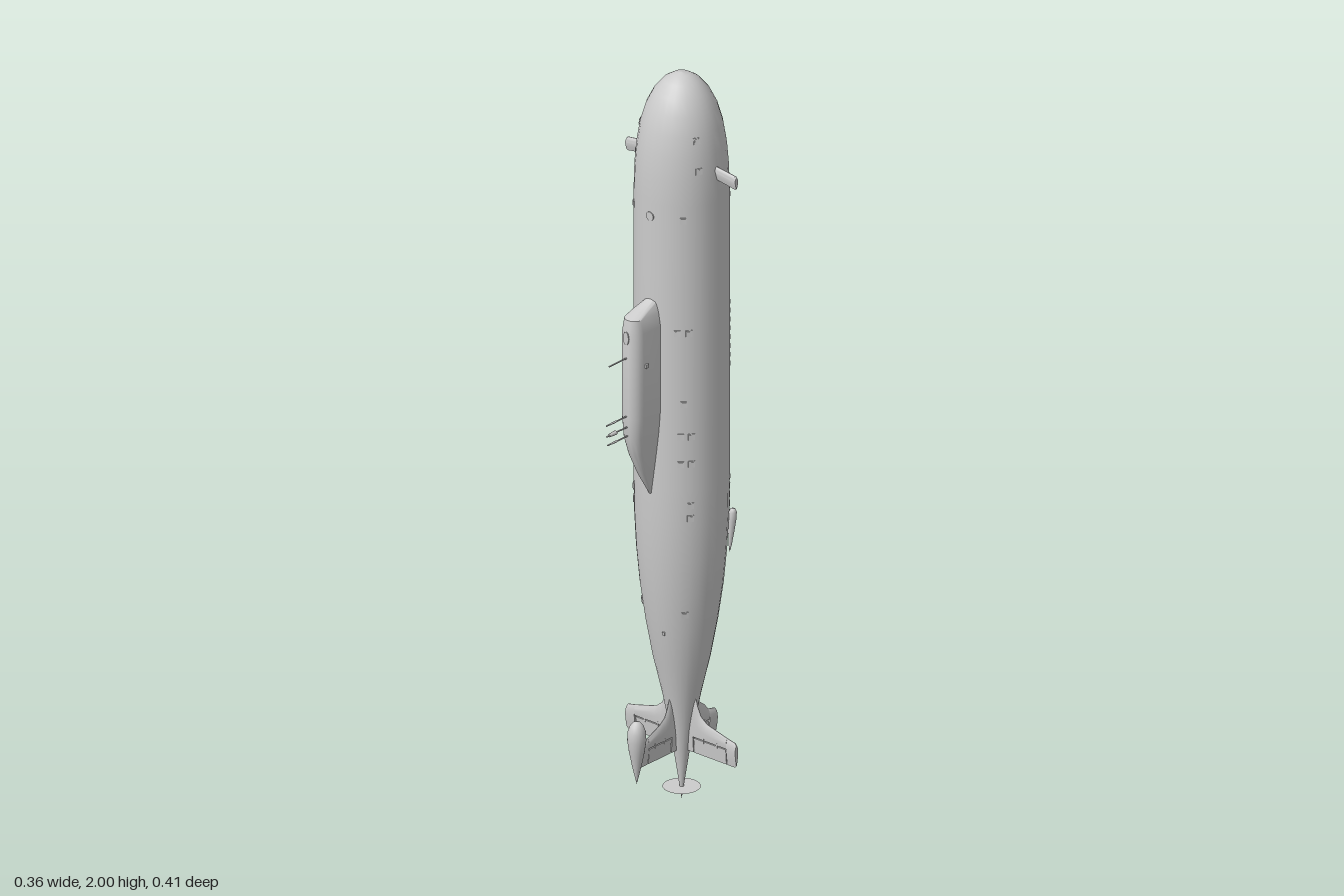
import * as THREE from 'three';
import { toCreasedNormals } from 'three/addons/utils/BufferGeometryUtils.js';

const AXIS_Z = -0.09; // hull axis
const mat = new THREE.MeshStandardMaterial({ color: 0xcccccc, roughness: 0.7 });
const thinMat = new THREE.MeshStandardMaterial({ color: 0xcccccc, side: THREE.DoubleSide });

// Hull profile: [radius, y]
const PROFILE = [
  [0, 0], [0.006, 0.04], [0.015, 0.1], [0.03, 0.2], [0.05, 0.3], [0.073, 0.4], [0.091, 0.5],
  [0.105, 0.6], [0.114, 0.7], [0.119, 0.8], [0.12, 0.9], [0.12, 1.3], [0.12, 1.68], [0.118, 1.75],
  [0.113, 1.81], [0.104, 1.865], [0.09, 1.913], [0.07, 1.953], [0.046, 1.981], [0.022, 1.996], [0, 2],
].map(([r, y]) => new THREE.Vector2(r, y));

function hullRadius(y) {
  for (let i = 1; i < PROFILE.length; i++) {
    const a = PROFILE[i - 1], b = PROFILE[i];
    if (y <= b.y) return a.x + (b.x - a.x) * (y - a.y) / (b.y - a.y);
  }
  return 0;
}

function add(parent, name, geometry, x = 0, y = 0, z = 0, material = mat) {
  const mesh = new THREE.Mesh(geometry, material);
  mesh.name = name;
  mesh.position.set(x, y, z);
  parent.add(mesh);
  return mesh;
}

// Skin over rings of [x, y, z] points, with both ends closed
function loft(rings, crease = 0.6) {
  const n = rings[0].length, last = rings.length - 1, index = [];
  const pos = rings.flat(2);
  for (let i = 0; i < last; i++) {
    for (let j = 0; j < n; j++) {
      const a = i * n + j, b = i * n + (j + 1) % n;
      index.push(a, b, a + n, b, b + n, a + n);
    }
  }
  for (let j = 1; j < n - 1; j++) {
    index.push(0, j + 1, j);
    index.push(last * n, last * n + j, last * n + j + 1);
  }
  const g = new THREE.BufferGeometry();
  g.setAttribute('position', new THREE.Float32BufferAttribute(pos, 3));
  g.setIndex(index);
  return toCreasedNormals(g, crease);
}

// Foil along +x. stations: [span, leading y, trailing y]; section: [chord fraction, half thickness]
function foil(stations, section) {
  const back = section.slice().reverse();
  return loft(stations.map(([s, y0, y1]) => [
    ...section.map(([t, h]) => [s, y0 + (y1 - y0) * t, h]),
    ...back.map(([t, h]) => [s, y0 + (y1 - y0) * t, -h]),
  ]));
}

const FULL = [[0, 0.0008], [0.05, 0.003], [0.2, 0.0055], [0.4, 0.006], [0.7, 0.004], [1, 0.001]];
const FRONT = [[0, 0.0008], [0.1, 0.003], [0.35, 0.0055], [0.6, 0.006], [1, 0.0045]];
const FLAP = [[0, 0.004], [1, 0.001]];

// Stern fin: fixed front, hinged flap and fixed tip
function sternFin(name, tip) {
  const fin = new THREE.Group();
  fin.name = name;
  const k = tip - 0.03;
  add(fin, 'finBody', foil([[0.01, 0.32, 0.184], [0.045, 0.3, 0.184], [0.054, 0.268, 0.184],
    [0.065, 0.245, 0.184], [0.085, 0.23, 0.184], [k, 0.212, 0.184]], FRONT));
  add(fin, 'finRoot', foil([[0.005, 0.184, 0.14], [0.04, 0.184, 0.14]], FLAP));
  add(fin, 'finTip', foil([[k, 0.212, 0.14], [tip - 0.005, 0.207, 0.14], [tip, 0.2, 0.145]], FULL));
  add(fin, 'flap', foil([[0.043, 0.181, 0.14], [k - 0.003, 0.181, 0.14]], FLAP));
  for (const f of [0.3, 0.7]) {
    add(fin, 'flapHinge', new THREE.BoxGeometry(0.004, 0.014, 0.011), 0.043 + (k - 0.043) * f, 0.183, 0);
  }
  fin.position.z = AXIS_Z;
  return fin;
}

// Small plate lying on the hull, at an angle from the front towards +x
function hullPlate(parent, name, geometry, angle, y) {
  const slope = (hullRadius(y + 0.01) - hullRadius(y - 0.01)) / 0.02;
  const r = hullRadius(y);
  const mesh = add(parent, name, geometry, Math.sin(angle) * r, y, AXIS_Z + Math.cos(angle) * r);
  mesh.rotation.set(Math.atan(slope), angle, 0, 'YXZ');
}

export function createModel() {
  const model = new THREE.Group();
  model.name = 'submarine';

  add(model, 'hull', new THREE.LatheGeometry(PROFILE, 28), 0, 0, AXIS_Z);

  // Sail: [y, outer z, half width], bow end first
  const sail = [[1.428, 0.018, 0.008], [1.415, 0.032, 0.016], [1.4, 0.08, 0.022], [1.387, 0.114, 0.026],
    [1.35, 0.12, 0.031], [1.12, 0.12, 0.031], [1.06, 0.115, 0.027], [1.01, 0.1, 0.021],
    [0.95, 0.072, 0.013], [0.885, 0.033, 0.004], [0.87, 0.02, 0.002]];
  add(model, 'sail', loft(sail.map(([y, top, w]) => {
    const base = 0.01, cap = Math.min(w, top - base), ring = [[w, y, base]];
    for (let i = 0; i <= 12; i++) {
      const a = Math.PI * i / 12;
      ring.push([w * Math.cos(a), y, top - cap + cap * Math.sin(a)]);
    }
    ring.push([-w, y, base]);
    return ring;
  }), 0.7));
  const bridge = add(model, 'bridgeHatch', new THREE.CylinderGeometry(0.009, 0.009, 0.004, 16), 0, 1.34, 0.12);
  bridge.rotation.x = Math.PI / 2;
  bridge.scale.z = 2;

  // Masts: [y, tip z, radius of head]
  for (const [y, tip, head] of [[1.285, 0.185, 0.002], [1.125, 0.195, 0.003], [1.095, 0.195, 0.006], [1.07, 0.19, 0.003]]) {
    const mast = new THREE.Group();
    mast.name = 'mast';
    add(mast, 'mastPole', new THREE.CylinderGeometry(0.002, 0.002, tip - 0.1, 8), 0, (tip - 0.1) / 2, 0);
    add(mast, 'mastHead', new THREE.CylinderGeometry(head * 0.7, head, 0.025, 8), 0, tip - 0.1125 - 0.01, 0);
    mast.rotation.x = Math.PI / 2;
    mast.position.set(0, y, 0.1);
    model.add(mast);
  }

  // Stern fins
  for (const [name, tip, turn] of [['leftSternFin', 0.182, 0], ['rightSternFin', 0.182, Math.PI],
    ['frontSternFin', 0.16, -Math.PI / 2], ['backSternFin', 0.13, Math.PI / 2]]) {
    const fin = sternFin(name, tip);
    fin.rotation.y = turn;
    model.add(fin);
  }

  // Teardrop pod on the front stern fin
  const pod = [[0, 0.1], [0.005, 0.12], [0.012, 0.15], [0.02, 0.19], [0.024, 0.22],
    [0.023, 0.243], [0.017, 0.26], [0.009, 0.269], [0, 0.272]].map(([r, y]) => new THREE.Vector2(r, y));
  add(model, 'sternPod', new THREE.LatheGeometry(pod, 20), 0, 0, 0.08);

  // Propeller disc
  const disc = add(model, 'propellerDisc', new THREE.CircleGeometry(0.048, 28), 0, 0.035, AXIS_Z, thinMat);
  disc.rotation.x = -Math.PI / 2;

  const fairing = [[0, 0], [0.004, 0.02], [0.008, 0.06], [0.0105, 0.09], [0.0105, 0.112], [0.006, 0.12], [0, 0.121]]
    .map(([r, y]) => new THREE.Vector2(r, y));
  const port = new THREE.BoxGeometry(0.017, 0.017, 0.003);
  const portRim = new THREE.BoxGeometry(0.012, 0.012, 0.005);
  // Front ports: [angle in degrees, y]
  const ports = [[62, 1.855], [63, 1.775], [43, 1.645], [36, 1.335], [50, 1.335], [44, 1.14], [40, 1.05],
    [53, 1.05], [40, 0.975], [53, 0.975], [52, 0.86], [52, 0.825], [46, 0.55]];
  // Rear rows: [first y, count]
  for (const [top, count] of [[1.705, 3], [1.36, 8], [0.88, 5]]) {
    for (let i = 0; i < count; i++) ports.push([142, top - i * 0.0243]);
  }

  for (const side of [1, -1]) {
    // Bow planes
    const plane = add(model, side > 0 ? 'leftBowPlane' : 'rightBowPlane',
      foil([[0.1, 1.777, 1.742], [0.178, 1.767, 1.73], [0.182, 1.762, 1.733]], FULL), 0, 0, AXIS_Z);
    if (side < 0) plane.rotation.y = Math.PI;

    // Sail side lights
    add(model, 'sailLight', new THREE.BoxGeometry(0.008, 0.01, 0.01), side * 0.032, 1.26, 0.08);

    // Rear fairings
    const pod = add(model, 'rearFairing', new THREE.LatheGeometry(fairing, 12), side * 0.086, 0.675, -0.173);
    pod.rotation.set(-0.05, 0, -side * 0.05);

    for (const [deg, y] of ports) {
      const a = side * deg * Math.PI / 180;
      hullPlate(model, 'floodPort', port, a, y);
      hullPlate(model, 'floodPortCover', portRim, a, y);
    }
  }

  // Deck hatches
  const hatch = new THREE.CylinderGeometry(0.012, 0.012, 0.004, 16).rotateX(Math.PI / 2);
  hullPlate(model, 'deckHatch', hatch, 0, 1.645);
  hullPlate(model, 'deckCleat', new THREE.BoxGeometry(0.006, 0.01, 0.005), 0.2, 0.49);

  return model;
}
